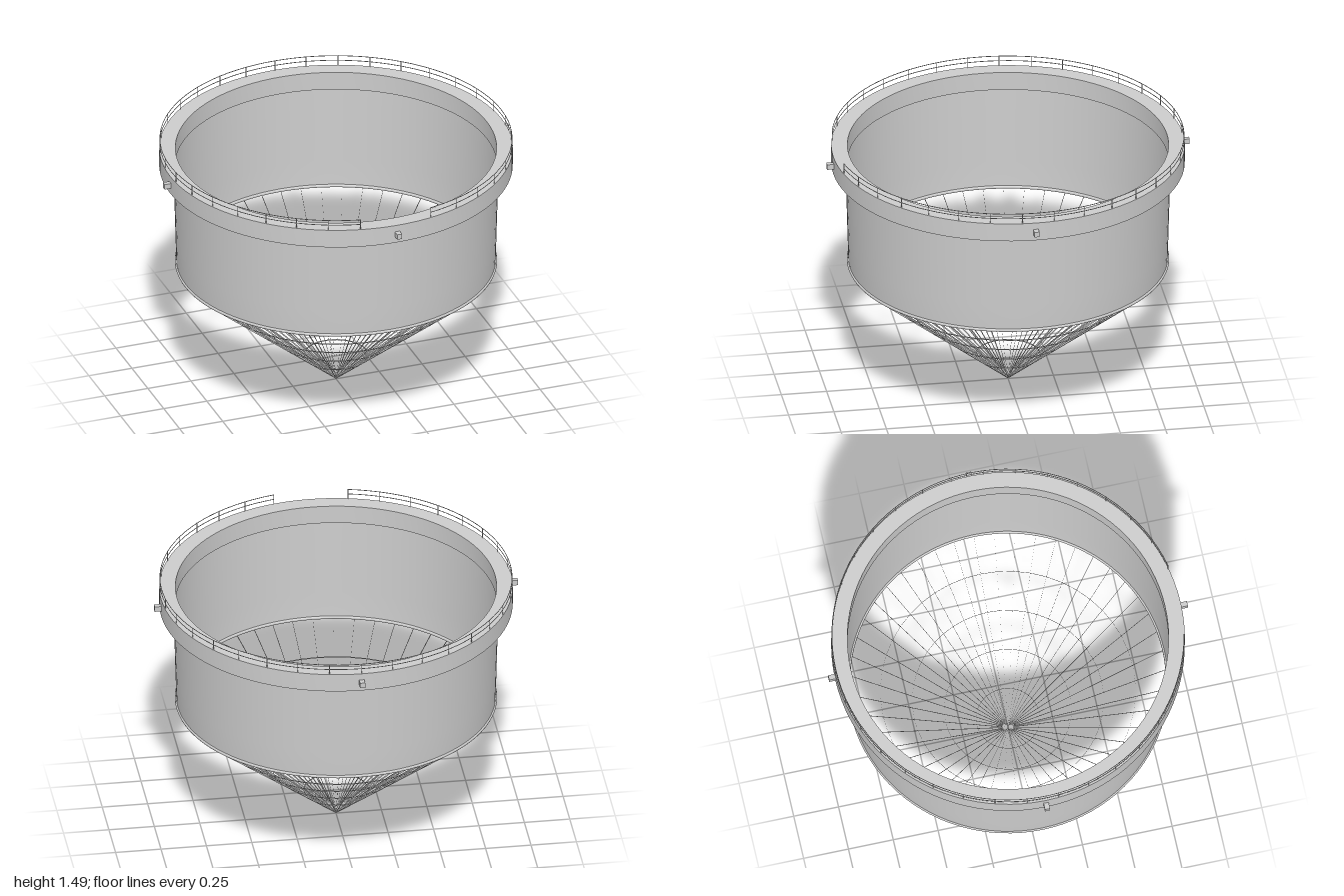
import * as THREE from 'three';
import { mergeGeometries, toCreasedNormals } from 'three/addons/utils/BufferGeometryUtils.js';

const material = new THREE.MeshStandardMaterial({ color: 0xcccccc, side: THREE.DoubleSide });
const SEGMENTS = 96;

export function createModel() {
  const model = new THREE.Group();
  const add = (name, geometry) => {
    const mesh = new THREE.Mesh(geometry, material);
    mesh.name = name;
    model.add(mesh);
    return mesh;
  };
  const lathe = (points) =>
    new THREE.LatheGeometry(points.map(([r, y]) => new THREE.Vector2(r, y)), SEGMENTS);

  // Floating collar: a ring of rectangular section
  add('floatingCollar', toCreasedNormals(lathe([
    [0.875, 1.32], [0.963, 1.32], [0.963, 1.425], [0.875, 1.425], [0.875, 1.32],
  ]), 0.6));

  // Slightly tapering net wall, with a small lip at the sinker ring
  add('netWall', lathe([
    [0.866, 0.733], [0.87, 0.737], [0.874, 0.885], [0.878, 1.03], [0.882, 1.18], [0.886, 1.325],
  ]));

  // Sinker ring around the bottom of the wall
  const rimRadius = 0.869, rimY = 0.73;
  const sinker = new THREE.TorusGeometry(rimRadius, 0.009, 8, SEGMENTS);
  sinker.rotateX(Math.PI / 2).translate(0, rimY, 0);
  add('sinkerRing', sinker);

  // Cone net: thin upright ribbons running down to the tip
  const depth = 0.01, spokeCount = 48;
  const ribbon = new THREE.Shape([
    new THREE.Vector2(0, 0),
    new THREE.Vector2(rimRadius, rimY - depth),
    new THREE.Vector2(rimRadius, rimY),
    new THREE.Vector2(0, depth),
  ]);
  const spokes = [];
  for (let i = 0; i < spokeCount; i++) {
    spokes.push(new THREE.ShapeGeometry(ribbon).rotateY((i / spokeCount) * Math.PI * 2));
  }
  add('coneNetLines', mergeGeometries(spokes));

  // Cone net: four level hoops
  const hoops = [1, 2, 3, 4].map((i) => {
    const r = (rimRadius * i) / 5;
    return new THREE.CylinderGeometry(r, r, 0.007, spokeCount, 1, true)
      .translate(0, 0.005 + ((rimY - depth) * i) / 5, 0);
  });
  add('coneNetHoops', mergeGeometries(hoops));

  // Handrail: two rails and upright posts, with an entrance gap at the front
  const railRadius = 0.959, gap = THREE.MathUtils.degToRad(12.3);
  const sweep = Math.PI * 2 - gap * 2, wire = 0.002;
  for (const [name, y] of [['topRail', 1.483], ['middleRail', 1.455]]) {
    const rail = new THREE.TorusGeometry(railRadius, wire, 6, SEGMENTS, sweep);
    rail.rotateX(Math.PI / 2).rotateY(gap - Math.PI / 2 + sweep).translate(0, y, 0);
    add(name, rail);
  }
  const posts = [], postCount = 32;
  for (let i = 0; i <= postCount; i++) {
    const a = gap + (sweep * i) / postCount;
    posts.push(new THREE.CylinderGeometry(wire, wire, 0.062, 6)
      .translate(railRadius * Math.sin(a), 1.454, railRadius * Math.cos(a)));
  }
  add('railPosts', mergeGeometries(posts));

  // Four mooring blocks on the outside of the collar
  for (let i = 0; i < 4; i++) {
    const block = new THREE.BoxGeometry(0.028, 0.03, 0.044).translate(0, 1.372, 0.978);
    add('mooringBlock', block.rotateY((i * Math.PI) / 2));
  }

  return model;
}
